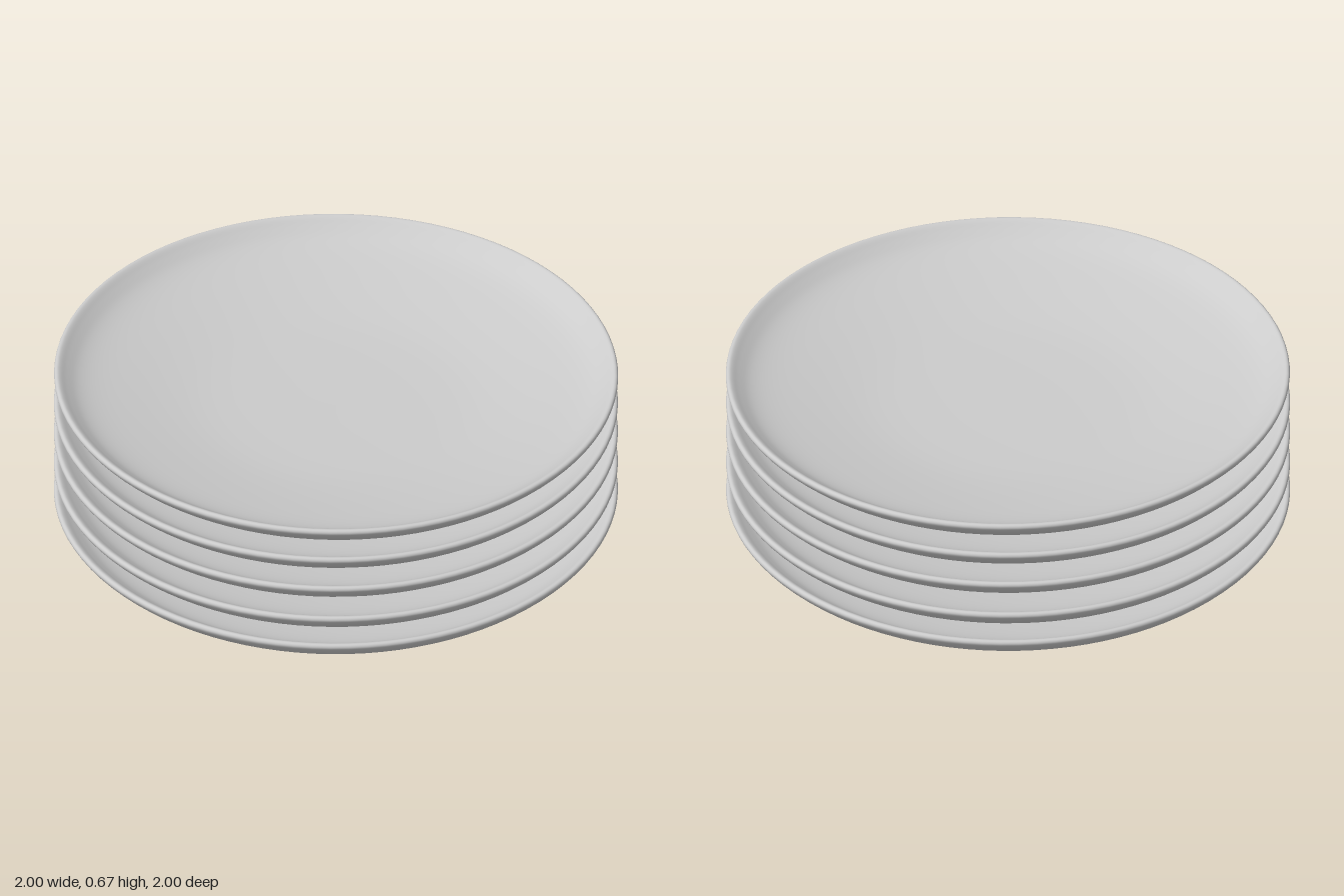
import * as THREE from 'three';

const v = (r, y) => new THREE.Vector2(r, y);

export function createModel() {
  const group = new THREE.Group();
  group.name = 'plateStack';
  const material = new THREE.MeshStandardMaterial({ color: 0xcccccc, side: THREE.DoubleSide });

  // Closed section: flat underside, rounded flank, thin lip, deep dished top
  const flank = new THREE.SplineCurve([
    v(0.7, 0.004), v(0.77, 0.018), v(0.865, 0.051), v(0.935, 0.091), v(0.977, 0.127),
    v(0.996, 0.152), v(0.996, 0.165), v(0.987, 0.17), v(0.974, 0.165), v(0.95, 0.147),
    v(0.91, 0.122), v(0.85, 0.101), v(0.75, 0.079), v(0.6, 0.053), v(0.45, 0.036),
    v(0.25, 0.029), v(0, 0.027),
  ]).getPoints(64);
  flank[64].x = 0;
  const profile = [v(0, 0), v(0.4, 0), v(0.67, 0.001), ...flank];
  const plateGeometry = new THREE.LatheGeometry(profile, 96);

  // Five stacked plates, the top one leaning slightly to its left
  [0, 0.117, 0.246, 0.37, 0.49].forEach((y, i) => {
    const plate = new THREE.Mesh(plateGeometry, material);
    plate.name = `plate${i + 1}`;
    plate.position.y = y;
    if (i === 4) plate.rotation.z = -0.006;
    group.add(plate);
  });
  return group;
}
